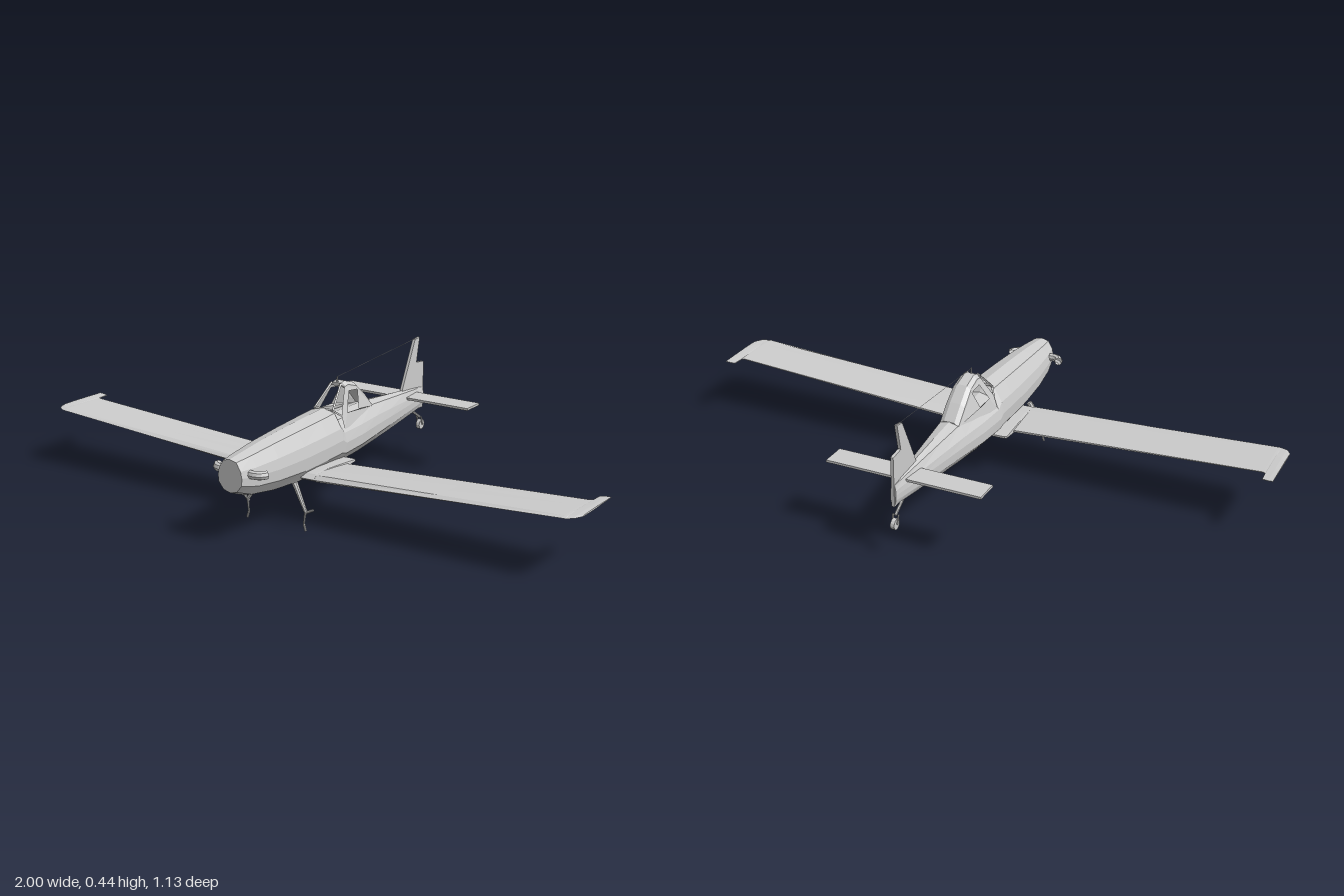
import * as THREE from 'three';

const V = (x, y, z) => new THREE.Vector3(x, y, z);
const paint = new THREE.MeshStandardMaterial({ color: 0xcccccc, flatShading: true, side: THREE.DoubleSide });
paint.name = 'light grey';

function add(parent, geometry, name) {
  const mesh = new THREE.Mesh(geometry, paint);
  mesh.name = name;
  parent.add(mesh);
  return mesh;
}

// Skin over a row of equal closed rings, with both ends capped
function loft(rings) {
  const n = rings[0].length, pos = [], idx = [];
  const push = (p) => pos.push(p.x, p.y, p.z);
  rings.forEach((r) => r.forEach(push));
  for (let i = 0; i < rings.length - 1; i++) {
    for (let j = 0; j < n; j++) {
      const k = (j + 1) % n;
      const a = i * n + j, b = i * n + k, c = a + n, d = b + n;
      idx.push(a, b, c, b, d, c);
    }
  }
  [0, rings.length - 1].forEach((r) => {
    const centre = pos.length / 3;
    push(rings[r].reduce((s, p) => s.add(p), V(0, 0, 0)).divideScalar(n));
    for (let j = 0; j < n; j++) {
      const a = r * n + j, b = r * n + (j + 1) % n;
      r === 0 ? idx.push(centre, b, a) : idx.push(centre, a, b);
    }
  });
  const g = new THREE.BufferGeometry();
  g.setAttribute('position', new THREE.Float32BufferAttribute(pos, 3));
  g.setIndex(idx);
  g.computeVertexNormals();
  return g;
}

// Straight round bar between two points
function rod(parent, a, b, ra, rb, name, sides = 8) {
  const mesh = add(parent, new THREE.CylinderGeometry(rb, ra, a.distanceTo(b), sides), name);
  mesh.position.copy(a).add(b).multiplyScalar(0.5);
  mesh.quaternion.setFromUnitVectors(V(0, 1, 0), b.clone().sub(a).normalize());
  return mesh;
}

// Half width of the cabin at a given length and height
function cabinX(z, y) {
  const taper = z < -0.06 ? 1 - 0.45 * Math.min(1, (-0.06 - z) / 0.11) : 1;
  return (0.057 - 0.3 * (y - 0.285)) * taper;
}

function fuselage(group) {
  // z, half width, bottom, top
  const stations = [
    [0.565, 0.045, 0.172, 0.278], [0.5, 0.057, 0.146, 0.286], [0.4, 0.068, 0.13, 0.297],
    [0.27, 0.075, 0.12, 0.307], [0.15, 0.079, 0.122, 0.314], [0.07, 0.08, 0.125, 0.318],
    [0.05, 0.079, 0.126, 0.29], [-0.06, 0.072, 0.13, 0.287], [-0.165, 0.06, 0.137, 0.285],
    [-0.28, 0.045, 0.146, 0.275], [-0.415, 0.028, 0.159, 0.263], [-0.5, 0.018, 0.168, 0.256],
    [-0.55, 0.01, 0.173, 0.25],
  ];
  const half = [[0.55, 0.94], [0.9, 0.7], [1, 0.5], [0.97, 0.28], [0.55, 0.06]];
  const section = [[0, 1], ...half, [0, 0], ...half.map(([x, y]) => [-x, y]).reverse()];
  add(group, loft(stations.map(([z, w, b, t]) =>
    section.map(([x, y]) => V(x * w, b + y * (t - b), z)))), 'fuselage');
}

function cabin(group) {
  const g = new THREE.Group();
  g.name = 'cabin';
  group.add(g);
  const roofLine = [[-0.008, 0.374], [-0.03, 0.378], [-0.08, 0.362], [-0.13, 0.319], [-0.175, 0.272]];
  // Side panels with an open window
  const outline = [[0.045, 0.25], [0.044, 0.293], ...roofLine, [-0.175, 0.25]];
  const shape = new THREE.Shape(outline.map((p) => new THREE.Vector2(...p)));
  shape.holes.push(new THREE.Path([[0.01, 0.296], [-0.027, 0.358], [-0.078, 0.352], [-0.057, 0.293]]
    .map((p) => new THREE.Vector2(...p))));
  for (const s of [1, -1]) {
    const geo = new THREE.ShapeGeometry(shape);
    const p = geo.attributes.position;
    for (let i = 0; i < p.count; i++) {
      const z = p.getX(i), y = p.getY(i);
      p.setXYZ(i, s * cabinX(z, y), y, z);
    }
    if (s > 0) { // turn the faces outward
      const ix = geo.index.array;
      for (let i = 0; i < ix.length; i += 3) [ix[i], ix[i + 1]] = [ix[i + 1], ix[i]];
    }
    geo.computeVertexNormals();
    add(g, geo, 'cabinSide');
    // Open windscreen frame
    const base = V(s * 0.036, 0.313, 0.068), top = V(s * 0.018, 0.384, -0.004);
    rod(g, base, top, 0.004, 0.004, 'windscreenPost', 4);
    rod(g, base, V(s * 0.054, 0.293, 0.044), 0.004, 0.004, 'windscreenSill', 4);
    rod(g, top, V(s * 0.03, 0.374, -0.008), 0.004, 0.004, 'windscreenArch', 4);
  }
  rod(g, V(-0.036, 0.314, 0.068), V(0.036, 0.314, 0.068), 0.004, 0.004, 'windscreenBase', 4);
  // Roof running down into the spine
  add(g, loft(roofLine.map(([z, y]) => {
    const x = cabinX(z, y);
    return [V(-0.55 * x, y + 0.011, z), V(0.55 * x, y + 0.011, z), V(x, y, z), V(-x, y, z)];
  })), 'cabinRoof');
}

function wing(group) {
  // x, leading edge z, trailing edge z, height, thickness
  const right = [
    [0, 0.278, 0.035, 0.148, 0.036], [0.098, 0.278, 0.035, 0.15, 0.034], [0.105, 0.278, 0.04, 0.15, 0.033],
    [0.107, 0.278, 0.09, 0.15, 0.033], [0.55, 0.276, 0.09, 0.176, 0.022], [0.955, 0.273, 0.09, 0.2, 0.011],
    [0.963, 0.272, 0.085, 0.2, 0.011], [0.965, 0.271, 0.045, 0.2, 0.011], [0.985, 0.262, 0.04, 0.202, 0.009],
    [1, 0.238, 0.04, 0.203, 0.006],
  ];
  const span = [...right.slice(1).reverse().map(([x, ...r]) => [-x, ...r]), ...right];
  // Aerofoil from trailing edge over the top and back underneath
  const foil = [[0, 0.1], [0.35, 0.32], [0.7, 0.5], [0.92, 0.38], [1, 0], [0.93, -0.3], [0.6, -0.45], [0.3, -0.3], [0, -0.1]];
  add(group, loft(span.map(([x, le, te, y, t]) =>
    foil.map(([c, h]) => V(x, y + h * t, te + c * (le - te))))), 'wing');
}

function tail(group) {
  // Fin and rudder cut from one thin plate
  const fin = new THREE.Shape([[-0.41, 0.262], [-0.492, 0.43], [-0.524, 0.434], [-0.505, 0.346], [-0.553, 0.34],
    [-0.553, 0.172], [-0.5, 0.172], [-0.46, 0.24]].map((p) => new THREE.Vector2(...p)));
  const geo = new THREE.ExtrudeGeometry(fin, { depth: 0.01, bevelEnabled: false });
  geo.translate(0, 0, -0.005).rotateY(-Math.PI / 2);
  add(group, geo, 'finAndRudder');
  add(group, new THREE.BoxGeometry(0.53, 0.008, 0.083), 'tailplane').position.set(0, 0.237, -0.453);
  // Tail wheel
  rod(group, V(0, 0.168, -0.49), V(0, 0.136, -0.54), 0.005, 0.005, 'tailStrut');
  for (const s of [1, -1]) {
    rod(group, V(s * 0.009, 0.138, -0.537), V(s * 0.009, 0.108, -0.545), 0.003, 0.003, 'tailFork');
  }
  rod(group, V(-0.007, 0.108, -0.545), V(0.007, 0.108, -0.545), 0.018, 0.018, 'tailWheel', 12);
  // Aerial mast and wire
  rod(group, V(0, 0.385, -0.012), V(0, 0.406, -0.012), 0.003, 0.002, 'aerialMast');
  rod(group, V(0, 0.404, -0.012), V(0, 0.433, -0.52), 0.0008, 0.0008, 'aerialWire', 4);
}

function undercarriage(group) {
  for (const s of [1, -1]) {
    rod(group, V(s * 0.062, 0.145, 0.318), V(s * 0.113, 0.062, 0.332), 0.01, 0.006, 'mainGearLeg');
    rod(group, V(s * 0.108, 0.058, 0.332), V(s * 0.135, 0.07, 0.322), 0.005, 0.004, 'axle');
    rod(group, V(s * 0.112, 0.062, 0.333), V(s * 0.107, 0.022, 0.334), 0.004, 0.003, 'brakeArm');
    rod(group, V(s * 0.107, 0.022, 0.334), V(s * 0.114, 0, 0.334), 0.004, 0.004, 'gearFoot');
  }
}

function exhausts(group) {
  for (const s of [1, -1]) {
    const bend = new THREE.CatmullRomCurve3([V(s * 0.045, 0.229, 0.526), V(s * 0.068, 0.229, 0.527),
      V(s * 0.083, 0.229, 0.519), V(s * 0.092, 0.229, 0.503)]);
    add(group, new THREE.TubeGeometry(bend, 6, 0.014, 8), 'exhaustPipe');
  }
}

export function createModel() {
  const group = new THREE.Group();
  group.name = 'cropDusterAircraft';
  [fuselage, cabin, wing, tail, undercarriage, exhausts].forEach((build) => build(group));
  return group;
}
